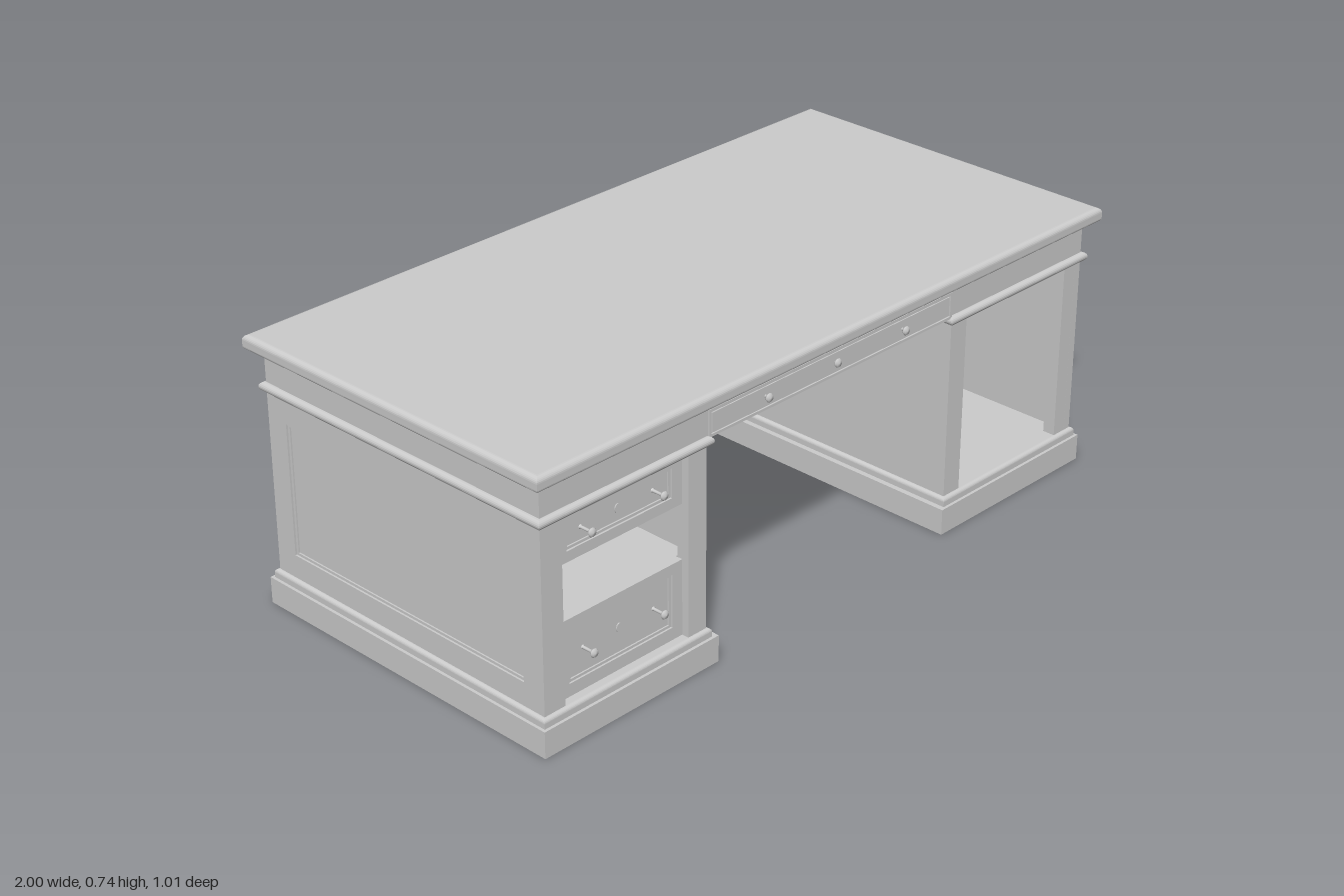
import * as THREE from 'three';

const wood = new THREE.MeshStandardMaterial({ color: 0xcccccc });
wood.name = 'pale grey';

function mesh(name, geo, parent) {
  const m = new THREE.Mesh(geo, wood);
  m.name = name;
  parent.add(m);
  return m;
}

// Box given by its limits on each axis
function block(name, parent, x0, x1, y0, y1, z0, z1) {
  const m = mesh(name, new THREE.BoxGeometry(x1 - x0, y1 - y0, z1 - z0), parent);
  m.position.set((x0 + x1) / 2, (y0 + y1) / 2, (z0 + z1) / 2);
  return m;
}

// Mitred moulding: a rectangle swept up a profile of [outward offset, y], capped
function moulding(name, parent, x0, x1, z0, z1, profile) {
  const pos = [];
  const rings = profile.map(([o, y]) => [
    [x0 - o, y, z1 + o], [x1 + o, y, z1 + o], [x1 + o, y, z0 - o], [x0 - o, y, z0 - o],
  ]);
  const quad = (a, b, c, d) => pos.push(...a, ...b, ...c, ...a, ...c, ...d);
  for (let i = 0; i < rings.length - 1; i++) {
    for (let k = 0; k < 4; k++) {
      const n = (k + 1) % 4;
      quad(rings[i][k], rings[i][n], rings[i + 1][n], rings[i + 1][k]);
    }
  }
  const b = rings[0], t = rings[rings.length - 1];
  quad(b[3], b[2], b[1], b[0]);
  quad(t[0], t[1], t[2], t[3]);
  const g = new THREE.BufferGeometry();
  g.setAttribute('position', new THREE.Float32BufferAttribute(pos, 3));
  g.computeVertexNormals();
  return mesh(name, g, parent);
}

// Profile of a circular arc around (o, y)
function arc(o, y, r, from, to, n = 8) {
  return Array.from({ length: n + 1 }, (_, i) => {
    const a = from + (to - from) * i / n;
    return [o + r * Math.cos(a), y + r * Math.sin(a)];
  });
}

function rect(Type, u0, u1, v0, v1) {
  const s = new Type();
  s.moveTo(u0, v0);
  s.lineTo(u1, v0);
  s.lineTo(u1, v1);
  s.lineTo(u0, v1);
  s.closePath();
  return s;
}

// Flat frame with a rectangular hole, front face at z = 0
function frame(name, parent, outer, hole, depth) {
  const s = rect(THREE.Shape, ...outer);
  s.holes.push(rect(THREE.Path, ...hole));
  const g = new THREE.ExtrudeGeometry(s, { depth, bevelEnabled: false });
  g.translate(0, 0, -depth);
  return mesh(name, g, parent);
}

// Framed wall with a sunken field and a thin bead around it, facing +z
function panelWall(name, outer, hole) {
  const g = new THREE.Group();
  g.name = name;
  frame('panelFrame', g, outer, hole, 0.012);
  const [a, b, c, d] = hole;
  frame('panelBead', g, hole, [a + 0.007, b - 0.007, c + 0.007, d - 0.007], 0.006).position.z = -0.005;
  block('panelField', g, outer[0], outer[1], outer[2], outer[3], -0.022, -0.009);
  return g;
}

// Turned knob pointing along +z
function knob(parent, x, y, z, length) {
  const pts = [[0.006, 0], [0.004, 0.003], [0.004, length - 0.014], [0.010, length - 0.010],
    [0.012, length - 0.006], [0.009, length - 0.002], [0, length]]
    .map(([r, h]) => new THREE.Vector2(r, h));
  const m = mesh('knob', new THREE.LatheGeometry(pts, 16), parent);
  m.rotation.x = Math.PI / 2;
  m.position.set(x, y, z);
}

function keyhole(parent, x, y, z) {
  const m = mesh('keyPlate', new THREE.CylinderGeometry(0.009, 0.009, 0.003, 16), parent);
  m.rotation.x = Math.PI / 2;
  m.scale.z = 1.4;
  m.position.set(x, y, z);
}

// Open pedestal: side is +1 or -1
function pedestal(side) {
  const g = new THREE.Group();
  g.name = side > 0 ? 'leftPedestal' : 'rightPedestal';
  const span = (a, b) => (side > 0 ? [a, b] : [-b, -a]);
  const [x0, x1] = span(0.44, 0.965);

  // Hollow plinth, moulded floor and upper moulding
  const [p0, p1] = span(0.415, 0.983);
  const plinth = frame('plinth', g, [p0, p1, -0.488, 0.488], [p0 + 0.035, p1 - 0.035, -0.453, 0.453], 0.072);
  plinth.rotation.x = -Math.PI / 2;
  plinth.position.y = 0.072;
  moulding('plinthMoulding', g, ...span(0.44, 0.965), -0.47, 0.47,
    [[0.010, 0.068], [0.010, 0.086], ...arc(0, 0.086, 0.010, 0.2, Math.PI / 2, 5)]);
  moulding('waistMoulding', g, x0, x1, -0.47, 0.47,
    arc(0.001, 0.5975, 0.0125, -Math.PI / 2, Math.PI / 2, 10));

  // Walls: plain towards the kneehole, panelled outside and behind
  block('innerWall', g, ...span(0.44, 0.465), 0.09, 0.6, -0.465, 0.46);
  const outer = panelWall('sidePanel', [-0.47, 0.47, 0.09, 0.6], [-0.405, 0.405, 0.16, 0.52]);
  outer.rotation.y = side * Math.PI / 2;
  outer.position.x = side * 0.965;
  const back = panelWall('backPanel', [-0.2625, 0.2625, 0.09, 0.6], [-0.205, 0.205, 0.16, 0.52]);
  back.rotation.y = Math.PI;
  back.position.set((x0 + x1) / 2, 0, -0.47);
  g.add(outer, back);

  // Front posts
  block('frontPost', g, ...span(0.44, 0.5), 0.09, 0.6, 0.435, 0.47);
  block('frontPost', g, ...span(0.9, 0.9645), 0.09, 0.6, 0.435, 0.4699);
  return g;
}

// Pedestal drawer with sunken front, knobs and key plate
function drawer(parent, y0, y1, hole) {
  const g = new THREE.Group();
  g.name = 'drawer';
  block('drawerBody', g, -0.945, -0.463, y0, y1, -0.45, 0.43);
  const front = panelWall('drawerFront', [-0.9, -0.5, y0, y1], hole);
  front.position.z = 0.45;
  g.add(front);
  const y = (hole[2] + hole[3]) / 2;
  for (const x of [-0.815, -0.587]) knob(g, x, y, 0.441, 0.044);
  keyhole(g, -0.70, y, 0.442);
  parent.add(g);
}

export function createModel() {
  const desk = new THREE.Group();
  desk.name = 'desk';

  // Top with rounded edge
  moulding('deskTop', desk, -0.985, 0.985, -0.489, 0.489, [
    ...arc(0.007, 0.705, 0.008, -Math.PI / 2, 0, 4),
    ...arc(0.001, 0.721, 0.014, 0, Math.PI / 2, 6),
  ]);

  // Frieze with a hollow cove below the top
  moulding('frieze', desk, -0.965, 0.965, -0.47, 0.47,
    [[0, 0.605], [0, 0.676], ...arc(0.022, 0.676, 0.022, Math.PI, Math.PI / 2, 6)]);

  // Centre drawer in the frieze
  const centre = new THREE.Group();
  centre.name = 'centreDrawer';
  frame('centreDrawerFrame', centre, [-0.435, 0.435, 0.605, 0.677], [-0.428, 0.428, 0.612, 0.67], 0.008).position.z = 0.474;
  block('centreDrawerFront', centre, -0.424, 0.424, 0.616, 0.666, 0.465, 0.473);
  for (const x of [-0.245, 0.245]) knob(centre, x, 0.642, 0.47, 0.022);
  knob(centre, 0, 0.642, 0.47, 0.018);
  desk.add(centre);

  // Pedestals and the kneehole back
  desk.add(pedestal(1), pedestal(-1));
  const modesty = panelWall('kneeholeBack', [-0.44, 0.44, 0, 0.606], [-0.37, 0.37, 0.07, 0.565]);
  modesty.rotation.y = Math.PI;
  modesty.position.z = -0.47;
  desk.add(modesty);

  // Two drawers with an open shelf between them
  drawer(desk, 0.45, 0.59, [-0.867, -0.533, 0.478, 0.556]);
  drawer(desk, 0.095, 0.302, [-0.867, -0.533, 0.13, 0.274]);
  return desk;
}
